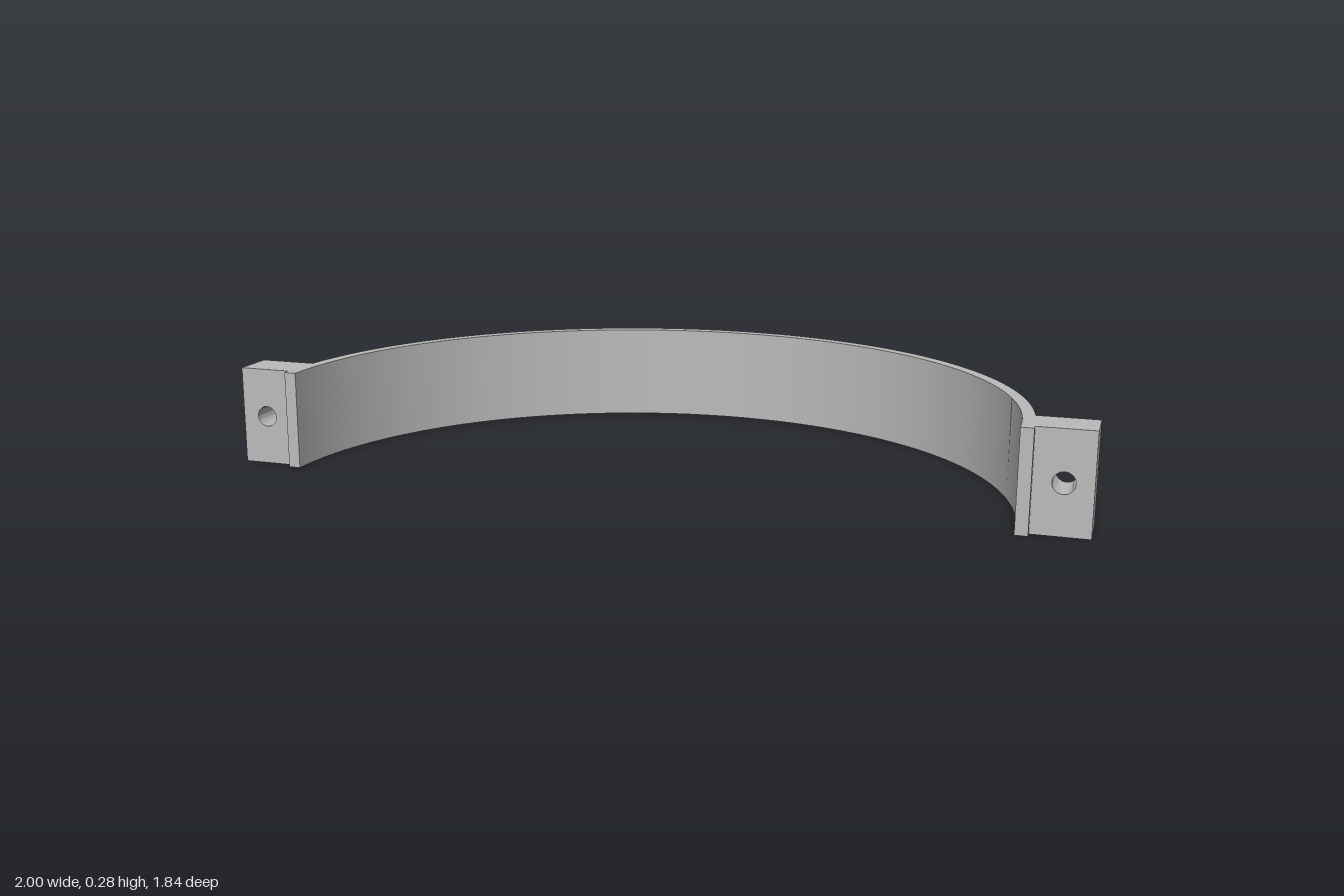
import * as THREE from 'three';
import { toCreasedNormals } from 'three/addons/utils/BufferGeometryUtils.js';

const HEIGHT = 0.285, OUTER = 1.07, INNER = 1.035;

export function createModel() {
  const model = new THREE.Group();
  model.name = 'halfClamp';
  const metal = new THREE.MeshStandardMaterial({ color: 0xbbbbbb });
  metal.name = 'grey metal';

  // Half-ring strap, drawn in plan and raised to full height
  const ring = new THREE.Shape();
  ring.absarc(0, 0, OUTER, 0, Math.PI, false);
  ring.absarc(0, 0, INNER, Math.PI, 0, true);
  ring.closePath();
  const bandGeometry = new THREE.ExtrudeGeometry(ring, {
    depth: HEIGHT, bevelEnabled: false, curveSegments: 72,
  });
  bandGeometry.rotateX(-Math.PI / 2);
  const band = new THREE.Mesh(toCreasedNormals(bandGeometry, 0.5), metal);
  band.name = 'band';
  model.add(band);

  // Bolt lugs at both ends, each with a through hole
  for (const side of [1, -1]) {
    const near = 1.058, far = 1.226;
    const x0 = side > 0 ? near : -far, x1 = side > 0 ? far : -near;
    const face = new THREE.Shape();
    face.moveTo(x0, 0);
    face.lineTo(x1, 0);
    face.lineTo(x1, HEIGHT);
    face.lineTo(x0, HEIGHT);
    face.closePath();
    const hole = new THREE.Path();
    hole.absarc(side * 1.149, HEIGHT / 2, 0.03, 0, Math.PI * 2, true);
    face.holes.push(hole);
    const lugGeometry = new THREE.ExtrudeGeometry(face, {
      depth: 0.124, bevelEnabled: false, curveSegments: 24,
    });
    lugGeometry.translate(0, 0, -0.146);
    const lug = new THREE.Mesh(toCreasedNormals(lugGeometry, 0.5), metal);
    lug.name = side > 0 ? 'leftLug' : 'rightLug';
    model.add(lug);
  }

  // Turn the clamp and centre its footprint
  model.rotation.y = -THREE.MathUtils.degToRad(40);
  model.position.set(-0.075, 0, 0.145);
  const root = new THREE.Group();
  root.name = 'clamp';
  root.add(model);
  return root;
}
